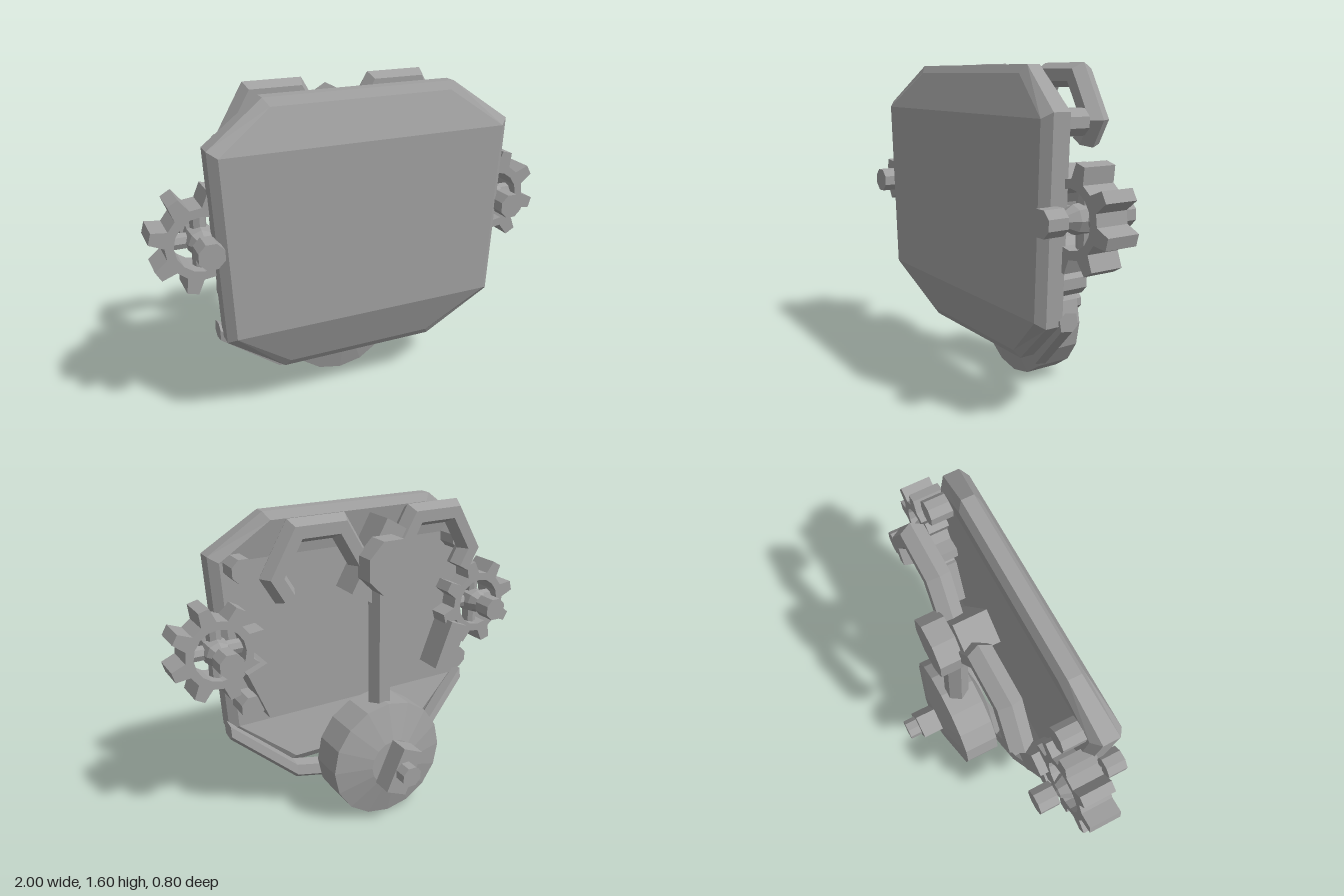
import * as THREE from 'three';

export function createModel() {
  const model = new THREE.Group();
  const metal = new THREE.MeshStandardMaterial({ color: 0xa0a0a0 });

  const add = (name, geometry, x = 0, y = 0, z = 0, rz = 0) => {
    const geo = geometry.index ? geometry.toNonIndexed() : geometry;
    geo.computeVertexNormals(); // faceted look
    const mesh = new THREE.Mesh(geo, metal);
    mesh.name = name;
    mesh.position.set(x, y, z);
    mesh.rotation.z = rz;
    model.add(mesh);
    return mesh;
  };

  // Solid skin through cross-section rings, closed by strip caps, faces turned outward
  const loft = (rings) => {
    const n = rings[0].length, tris = [];
    const quad = (a, b, c, d) => tris.push([a, b, c], [a, c, d]);
    for (let k = 0; k + 1 < rings.length; k++)
      for (let i = 0; i < n; i++) {
        const j = (i + 1) % n;
        quad(rings[k][i], rings[k][j], rings[k + 1][j], rings[k + 1][i]);
      }
    const first = rings[0], last = rings[rings.length - 1];
    for (let i = 0; i < n / 2 - 1; i++) {
      quad(first[n - 1 - i], first[n - 2 - i], first[i + 1], first[i]);
      quad(last[i], last[i + 1], last[n - 2 - i], last[n - 1 - i]);
    }
    const volume = tris.reduce((s, [a, b, c]) => s + a.dot(b.clone().cross(c)), 0);
    if (volume < 0) tris.forEach((t) => t.reverse());
    return new THREE.BufferGeometry().setFromPoints(tris.flat());
  };

  // Cylinder along z with flats facing the axes
  const pegGeo = (r, depth, sides = 8) =>
    new THREE.CylinderGeometry(r, r, depth, sides, 1, false, Math.PI / sides).rotateX(Math.PI / 2);

  // Front plate: clipped rectangle with its top and bottom bent backward
  const right = [[0.47, 1.59], [0.74, 1.4], [0.7, 0.49], [0.4, 0.25]];
  const outline = [...right, ...right.slice().reverse().map(([x, y]) => [-x, y])];
  const plateRings = [
    [0.94, 0.2, -0.03, -0.06],
    [1, 0.235, -0.04, -0.07],
    [1, 0.32, -0.06, -0.075],
    [0.945, 0.355, -0.07, -0.085],
  ].map(([s, z, top, bottom]) => outline.map(([x, y]) =>
    new THREE.Vector3(x * s, 0.92 + (y - 0.92) * s, z + (y > 1.5 ? top : y < 0.3 ? bottom : 0))));
  add('frontPlate', loft(plateRings));

  // Lower bracket wrapping from the plate corners back to the disc
  const bracket = [[-0.715, 0.505, 0.21], [-0.4, 0.235, 0.12], [0, 0.18, 0.045], [0.4, 0.235, 0.12], [0.715, 0.505, 0.21]];
  const section = [[0.045, 0.02], [0.035, -0.04], [-0.02, -0.05], [-0.045, -0.02], [-0.035, 0.04], [0.02, 0.05]];
  add('lowerBracket', loft(bracket.map(([x, y, z]) =>
    section.map(([dy, dz]) => new THREE.Vector3(x, y + dy, z + dz)))));

  // Round weight disc with bevelled faces
  const discProfile = [[0, -0.225], [0.125, -0.225], [0.315, -0.175], [0.315, 0.01], [0.12, 0.06], [0, 0.06]]
    .map(([r, z]) => new THREE.Vector2(r, z));
  add('disc', new THREE.LatheGeometry(discProfile, 16).rotateX(Math.PI / 2), 0, 0.318, 0);
  add('discBlock', new THREE.BoxGeometry(0.12, 0.24, 0.11), 0, 0.317, -0.28, 0.43);
  add('discPeg', pegGeo(0.055, 0.08), 0, 0.323, -0.36);

  // Upright rod, hub and the slanted block behind it
  add('rod', new THREE.CylinderGeometry(0.063, 0.063, 0.7, 6, 1, false, Math.PI / 6), 0, 0.93, -0.083);
  add('hub', pegGeo(0.14, 0.11), 0, 1.35, -0.155);
  add('hubBlock', new THREE.BoxGeometry(0.15, 0.39, 0.16), 0, 1.35, -0.02, 0.52);

  // Open hexagonal hooks on both sides of the hub
  const hookRing = (angle, squeeze = 1) => Array.from({ length: 6 }, (_, i) => {
    const t = (i * Math.PI) / 3, r = 0.225 + 0.065 * Math.cos(t);
    return new THREE.Vector3(r * Math.cos(angle), r * Math.sin(angle) * squeeze, 0.065 * Math.sin(t));
  });
  const corner = Math.PI / 3;
  const hookRings = [3, 2, 1, 0].map((k) => hookRing(k * corner));
  const tip = hookRing(-corner);
  hookRings.push(tip.map((p, i) => p.clone().lerp(hookRings[3][i], 0.5)));

  // Toothed ring with a round opening
  const gearShape = new THREE.Shape();
  const gearPoints = [];
  for (let k = 0; k < 8; k++)
    for (const [deg, r] of [[-13, 0.17], [-6.5, 0.24], [6.5, 0.24], [13, 0.17]]) {
      const a = THREE.MathUtils.degToRad(30 + 45 * k + deg);
      gearPoints.push(new THREE.Vector2(r * Math.cos(a), r * Math.sin(a)));
    }
  gearShape.setFromPoints(gearPoints);
  gearShape.holes.push(new THREE.Path().absarc(0, 0, 0.13, 0, Math.PI * 2, true));
  const gearGeo = new THREE.ExtrudeGeometry(gearShape, { depth: 0.16, bevelEnabled: false, curveSegments: 8 });

  for (const [side, s] of [['left', 1], ['right', -1]]) {
    const mirrored = hookRings.map((ring) => ring.map((p) => new THREE.Vector3(p.x * s, p.y, p.z)));
    add(side + 'Hook', loft(mirrored), s * 0.318, 1.35, -0.055);

    // Gear with crossed spokes, bulging core and end caps
    const gx = s * 0.762, gy = 0.965;
    add(side + 'Gear', gearGeo, gx, gy, 0.09);
    add(side + 'SpokeUpright', new THREE.CylinderGeometry(0.038, 0.038, 0.28, 8), gx, gy, 0.17);
    add(side + 'SpokeCross', new THREE.CylinderGeometry(0.038, 0.038, 0.28, 8), gx, gy, 0.17, Math.PI / 2);
    add(side + 'GearCore', new THREE.SphereGeometry(1, 8, 6).rotateX(Math.PI / 2).scale(0.073, 0.073, 0.13), gx, gy, 0.17);
    add(side + 'FrontCap', pegGeo(0.063, 0.1), gx, gy, 0.35);
    add(side + 'BackCap', pegGeo(0.063, 0.1), gx, gy, -0.01);

    // Studs and slanted blocks on the back of the plate
    add(side + 'UpperStud', pegGeo(0.063, 0.13), s * 0.62, 1.35, 0.15);
    add(side + 'LowerStud', pegGeo(0.063, 0.13), s * 0.62, 0.66, 0.15);
    add(side + 'PlateBlock', new THREE.BoxGeometry(0.11, 0.275, 0.16), s * 0.55, 0.75, 0.125, -s * 0.38);
  }
  return model;
}
